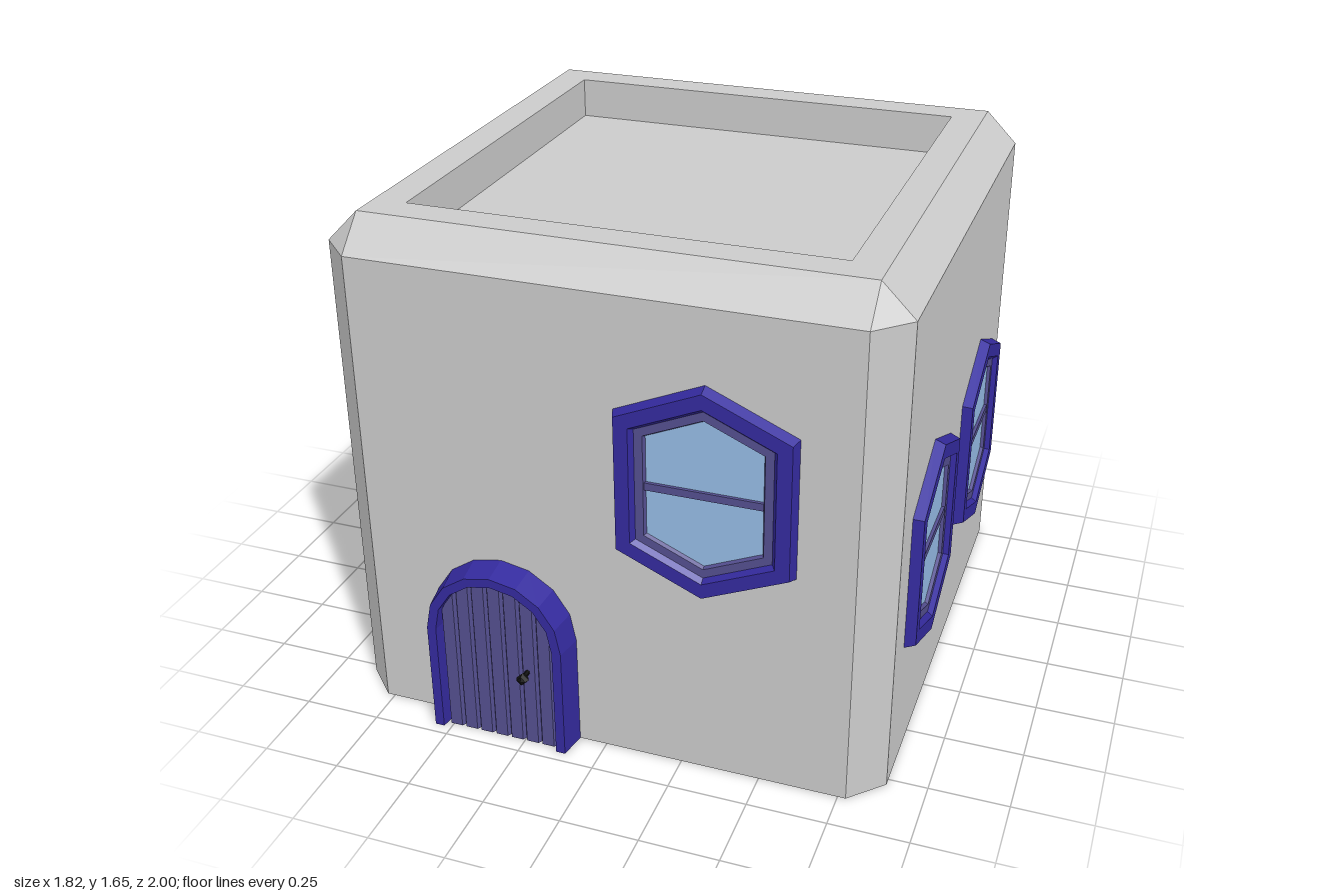
import * as THREE from 'three';

const WALL = 0.877;
const mat = (color) => new THREE.MeshStandardMaterial({ color, flatShading: true });
const stone = mat(0xcccccc), trim = mat(0x342a9e), wood = mat(0x544f90), glass = mat(0x96bce6), iron = mat(0x111111);

// Skin a series of closed loops (counter-clockwise about the direction of travel)
function loft(rings, capStart = false, capEnd = false) {
  const pos = [];
  const tri = (a, b, c) => {
    const area = new THREE.Triangle(a, b, c).getArea();
    if (area > 1e-8) pos.push(...a.toArray(), ...b.toArray(), ...c.toArray());
  };
  const n = rings[0].length;
  for (let i = 0; i + 1 < rings.length; i++) {
    for (let j = 0; j < n; j++) {
      const k = (j + 1) % n, lo = rings[i], hi = rings[i + 1];
      tri(lo[j], lo[k], hi[k]);
      tri(lo[j], hi[k], hi[j]);
    }
  }
  const last = rings[rings.length - 1];
  for (let j = 1; j + 1 < n; j++) {
    if (capStart) tri(rings[0][0], rings[0][j + 1], rings[0][j]);
    if (capEnd) tri(last[0], last[j], last[j + 1]);
  }
  const g = new THREE.BufferGeometry();
  g.setAttribute('position', new THREE.Float32BufferAttribute(pos, 3));
  g.computeVertexNormals();
  return g;
}

function add(parent, name, geometry, material, x = 0, y = 0, z = 0) {
  const m = new THREE.Mesh(geometry, material);
  m.name = name;
  m.position.set(x, y, z);
  parent.add(m);
  return m;
}

// Square loop with cut corners: half width h, corner cut c
function cutSquare(h, c, y) {
  const s = h - c;
  return [[s, h], [h, s], [h, -s], [s, -h], [-s, -h], [-h, -s], [-h, s], [-s, h]]
    .map(([x, z]) => new THREE.Vector3(x, y, z));
}

// Tall hexagon, moved inwards by d
function hexagon(d, z) {
  const w = 0.275 - d, top = 0.345 - 1.09 * d, side = top - w * 0.436;
  return [[w, -side], [w, side], [0, top], [-w, side], [-w, -side], [0, -top]]
    .map(([x, y]) => new THREE.Vector3(x, y, z));
}
const hexRings = (profile) => profile.map(([d, z]) => hexagon(d, z));

function createWindow() {
  const g = new THREE.Group();
  g.name = 'window';
  add(g, 'windowSurround', loft(hexRings([[0, 0], [0.012, 0.033], [0.056, 0.033], [0.072, 0.01], [0.072, 0]])), trim);
  add(g, 'windowSash', loft(hexRings([[0.068, 0], [0.068, 0.016], [0.094, 0.016], [0.1, 0.004]])), wood);
  add(g, 'windowPane', loft(hexRings([[0.098, 0], [0.098, 0.005]]), false, true), glass);
  add(g, 'windowBar', new THREE.BoxGeometry(0.355, 0.024, 0.014), wood, 0, 0, 0.008);
  return g;
}

function createDoor() {
  const g = new THREE.Group();
  g.name = 'door';
  const spring = 0.375;

  // Arched surround, tapering towards the front
  const section = [[0.195, 0.088], [0.225, 0.088], [0.24, 0], [0.18, 0]];
  const stations = [section.map(([r, z]) => new THREE.Vector3(r, 0, z))];
  for (let i = 0; i <= 8; i++) {
    const a = (i * Math.PI) / 8;
    stations.push(section.map(([r, z]) => new THREE.Vector3(r * Math.cos(a), spring + r * Math.sin(a), z)));
  }
  stations.push(section.map(([r, z]) => new THREE.Vector3(-r, 0, z)));
  add(g, 'doorSurround', loft(stations, true, true), trim);

  // Vertical planks with bevelled edges, cut to the arch
  const count = 7, half = 0.186, width = (2 * half) / count;
  const topAt = (x) => spring + Math.sqrt(Math.max(0, 0.19 ** 2 - x * x));
  for (let i = 0; i < count; i++) {
    const x0 = -half + i * width, x1 = x0 + width;
    const ring = (d, z) => {
      const l = x0 + d, r = x1 - d, m = (l + r) / 2;
      return [[l, 0], [r, 0], [r, topAt(r)], [m, topAt(m)], [l, topAt(l)]]
        .map(([x, y]) => new THREE.Vector3(x, y, z));
    };
    add(g, 'doorPlank', loft([ring(0, 0), ring(0, 0.056), ring(0.007, 0.068)], true, true), wood);
  }

  // Handle
  add(g, 'doorHandleStem', new THREE.CylinderGeometry(0.008, 0.008, 0.05, 6).rotateX(Math.PI / 2), iron, 0.102, 0.27, 0.085);
  add(g, 'doorHandleKnob', new THREE.SphereGeometry(0.021, 4, 4).rotateX(Math.PI / 2).scale(1, 1, 0.8), iron, 0.102, 0.27, 0.106);
  return g;
}

export function createModel() {
  const house = new THREE.Group();
  house.name = 'house';

  // Walls, bevelled parapet and sunken roof
  add(house, 'walls', loft([
    cutSquare(WALL, 0.102, 0), cutSquare(WALL, 0.102, 1.55), cutSquare(0.775, 0, 1.653),
    cutSquare(0.67, 0, 1.653), cutSquare(0.67, 0, 1.52),
  ], true, true), stone);

  // Front and back share one layout, as do the two sides
  for (const turn of [0, Math.PI]) {
    const face = new THREE.Group();
    face.name = turn ? 'backFace' : 'frontFace';
    face.rotation.y = turn;
    const door = createDoor();
    door.position.set(-0.33, 0, WALL);
    const win = createWindow();
    win.position.set(0.325, 0.975, WALL);
    face.add(door, win);

    const side = new THREE.Group();
    side.name = turn ? 'rightFace' : 'leftFace';
    side.rotation.y = turn + Math.PI / 2;
    for (const x of [-0.37, 0.37]) {
      const w = createWindow();
      w.position.set(x, 0.645, WALL);
      side.add(w);
    }
    house.add(face, side);
  }
  return house;
}
